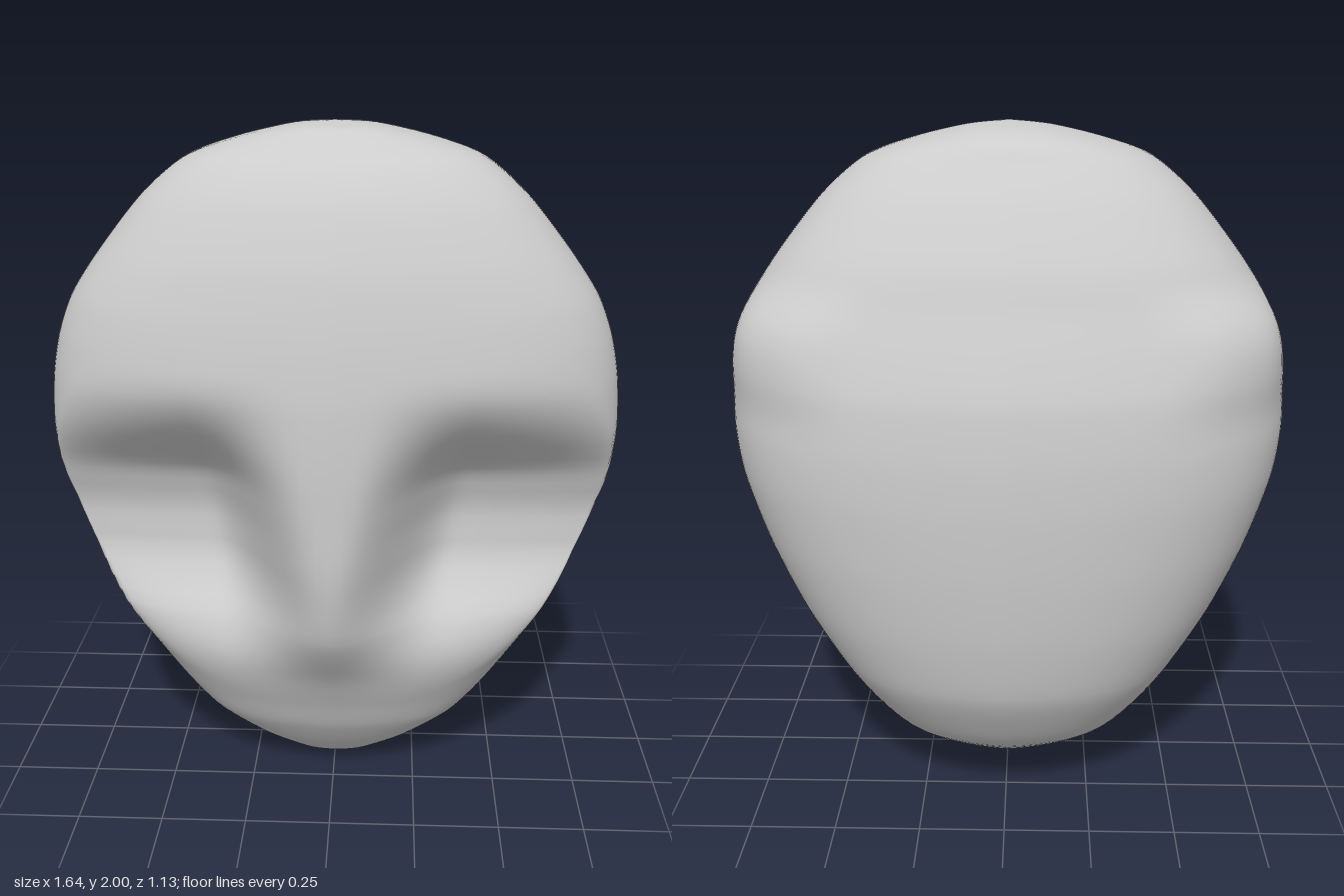
import * as THREE from 'three';

const { smoothstep: smooth, lerp, clamp, mapLinear } = THREE.MathUtils;

// Head levels: height, half width, front midline z, back midline z
const LEVELS = [
  [0.005, 0, 0.08, 0.08], [0.015, 0.07, 0.12, -0.02], [0.035, 0.12, 0.15, -0.1],
  [0.1, 0.24, 0.215, -0.21], [0.2, 0.375, 0.287, -0.35], [0.3, 0.46, 0.335, -0.425],
  [0.42, 0.54, 0.4, -0.49], [0.6, 0.645, 0.52, -0.53], [0.8, 0.735, 0.56, -0.552],
  [1.0, 0.8, 0.565, -0.56], [1.15, 0.82, 0.565, -0.555], [1.3, 0.812, 0.558, -0.535],
  [1.42, 0.788, 0.543, -0.495], [1.53, 0.745, 0.522, -0.45], [1.65, 0.663, 0.49, -0.402],
  [1.8, 0.54, 0.425, -0.31], [1.9, 0.42, 0.35, -0.23], [1.95, 0.28, 0.27, -0.185],
  [1.985, 0.13, 0.21, -0.08], [2.0, 0, 0.1, 0.1],
];

// Depth of the eye hollow and cheek floor, rising with height
const FLOOR = [[0.3, 0.32], [0.6, 0.28], [0.76, 0.215], [0.9, 0.205], [1.04, 0.25], [1.36, 0.4]];
function floorAt(y) {
  for (let i = 1; i < FLOOR.length; i++) {
    const [y0, z0] = FLOOR[i - 1], [y1, z1] = FLOOR[i];
    if (y <= y1) return mapLinear(Math.max(y, y0), y0, y1, z0, z1);
  }
  return 0.4;
}

// Sink the front into hollows either side of a nose that widens at the brow
function hollow(x, y, z, u) {
  const f = floorAt(y) - 0.03 * u ** 4;
  if (z <= f) return z;
  const inner = lerp(0.01, 0.08, smooth(y, 0.6, 1.25));
  const m = smooth(Math.abs(x), inner, inner + 0.33)
    * smooth(y, 0.28, 0.72) * (1 - smooth(y, 1.0, 1.38));
  return lerp(z, f, m);
}

function headGeometry(rows = 100, segs = 144) {
  const spline = (pick) => new THREE.CatmullRomCurve3(
    LEVELS.map(pick), false, 'catmullrom', 0.4);
  const sizes = spline(([, w, f, b]) => new THREE.Vector3(w, f, b));
  const heights = spline(([y]) => new THREE.Vector3(0, y, 0));
  const pos = [], index = [];
  for (let j = 0; j <= rows; j++) {
    const s = sizes.getPoint(j / rows);
    const y = clamp(heights.getPoint(j / rows).y, 0, 2);
    const w = Math.max(s.x, 0);
    const mid = clamp(0.1, s.z, s.y);
    for (let i = 0; i < segs; i++) {
      // Rounded-box section with a crease along the midline
      const a = (i / segs) * Math.PI * 2;
      const u = Math.sin(a), au = Math.min(1, Math.abs(u));
      const front = Math.cos(a) > 0;
      const n = front ? 2.8 : 3;
      const v = (1 - au ** n) ** (1 / n) * (1 - (front ? 0.18 : 0.09) * au);
      let x = w * u;
      let z = mid + ((front ? s.y : s.z) - mid) * v;
      if (front) {
        z = hollow(x, y, z, u);
      } else {
        // Slight swelling at the rear corners, ending in a soft ledge
        const k = 1 + 0.05 * smooth(y, 1.2, 1.45) * (1 - smooth(y, 1.46, 1.6))
          * smooth(au, 0.45, 0.75) * smooth(v, 0.2, 0.65);
        x *= k;
        z = mid + (z - mid) * k;
      }
      pos.push(x, y, z);
    }
  }
  for (let j = 0; j < rows; j++) {
    for (let i = 0; i < segs; i++) {
      const a = j * segs + i, b = j * segs + (i + 1) % segs;
      if (j > 0) index.push(a, b, b + segs);
      if (j < rows - 1) index.push(a, b + segs, a + segs);
    }
  }
  const geo = new THREE.BufferGeometry();
  geo.setAttribute('position', new THREE.Float32BufferAttribute(pos, 3));
  geo.setIndex(index);
  geo.computeVertexNormals();
  return geo;
}

export function createModel() {
  const clay = new THREE.MeshStandardMaterial({ color: 0xcccccc });
  clay.name = 'greyClay';
  const model = new THREE.Group();
  model.name = 'headSculpt';
  const head = new THREE.Mesh(headGeometry(), clay);
  head.name = 'head';
  model.add(head);
  return model;
}
